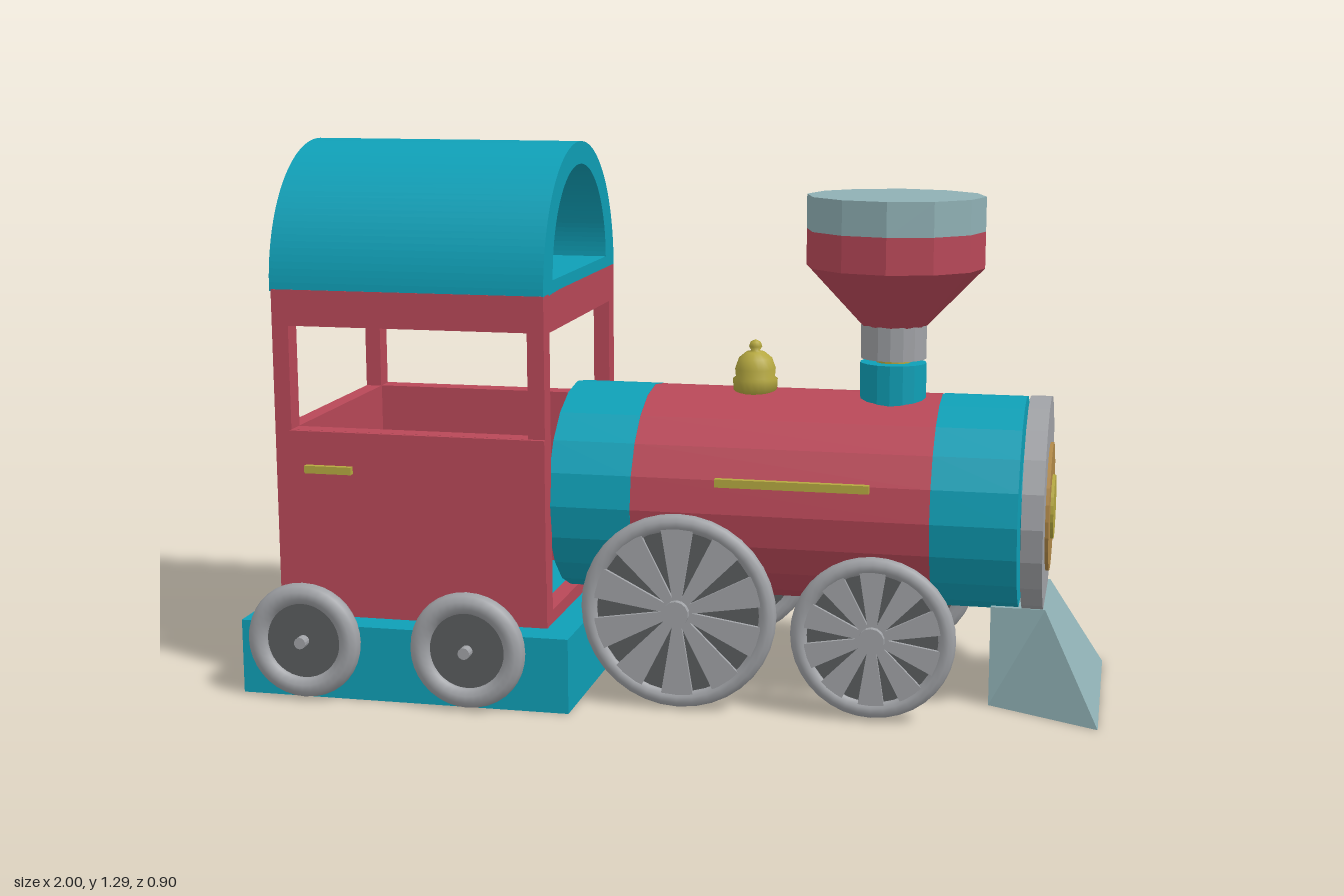
import * as THREE from 'three';

const TEAL = 0x0f9fb6, RED = 0xb84858, GREY = 0xa0a2a6, DARK = 0x5a5c5e, PALE = 0x8fb0b4, GOLD = 0xb5a840, ORANGE = 0xb08848;
const AXIS_Z = 0.013; // side offset of the boiler line

export function createModel() {
  const root = new THREE.Group();

  const material = (color, flat) => new THREE.MeshStandardMaterial({ color, flatShading: flat, side: THREE.DoubleSide });
  const add = (name, geo, color, flat = true, parent = root) => {
    const mesh = new THREE.Mesh(geo, material(color, flat));
    mesh.name = name;
    parent.add(mesh);
    return mesh;
  };
  // box from its limits
  const box = (name, x0, x1, y0, y1, z0, z1, color) => {
    const g = new THREE.BoxGeometry(x1 - x0, y1 - y0, z1 - z0);
    g.translate((x0 + x1) / 2, (y0 + y1) / 2, (z0 + z1) / 2);
    return add(name, g, color);
  };
  // elliptical drum lying along x
  const drum = (name, x0, x1, y, ry, rz, color, sides = 20) => {
    const g = new THREE.CylinderGeometry(1, 1, x1 - x0, sides);
    g.rotateZ(Math.PI / 2);
    g.scale(1, ry, rz);
    g.translate((x0 + x1) / 2, y, AXIS_Z);
    return add(name, g, color);
  };
  // rectangle path, used for walls and their openings
  const rect = (path, x0, x1, y0, y1) => {
    path.moveTo(x0, y0);
    path.lineTo(x1, y0);
    path.lineTo(x1, y1);
    path.lineTo(x0, y1);
    path.closePath();
    return path;
  };
  const framedWall = (outer, hole, depth) => {
    const s = rect(new THREE.Shape(), ...outer);
    s.holes.push(rect(new THREE.Path(), ...hole));
    return new THREE.ExtrudeGeometry(s, { depth, bevelEnabled: false });
  };

  // Cab platform
  box('cabBase', -1, -0.2, 0, 0.178, -0.395, 0.405, TEAL);

  // Cab walls: windows at the sides and back, open towards the boiler
  for (const s of [1, -1]) {
    const side = framedWall([-0.93, -0.27, 0.178, 0.96], [-0.89, -0.305, 0.628, 0.875], 0.045);
    side.translate(0, 0, s > 0 ? 0.283 : -0.333);
    add('cabSideWall', side, RED);
    const z = s * 0.335;
    box('cabDoor', -0.89, -0.268, 0.29, 0.628, z - 0.006, z + 0.006, RED);
    box('doorHandle', -0.85, -0.735, 0.53, 0.548, s * 0.346 - 0.01, s * 0.346 + 0.01, GOLD);
  }
  const back = framedWall([-0.333, 0.328, 0.178, 0.96], [-0.283, 0.278, 0.628, 0.87], 0.04);
  back.rotateY(Math.PI / 2);
  back.translate(-0.93, 0, -0.005);
  add('cabBackWall', back, RED);
  const front = framedWall([-0.333, 0.328, 0.178, 0.96], [-0.283, 0.278, 0.21, 0.87], 0.04);
  front.rotateY(Math.PI / 2);
  front.translate(-0.31, 0, -0.005);
  add('cabFrontFrame', front, RED);

  // Arched hollow roof
  const arch = new THREE.Shape();
  arch.moveTo(0.332, 0.955);
  arch.absarc(0, 0.96, 0.332, 0, Math.PI, false);
  arch.lineTo(-0.332, 0.955);
  arch.closePath();
  const tunnel = new THREE.Path();
  tunnel.absarc(0, 0.988, 0.25, 0, Math.PI, false);
  tunnel.closePath();
  arch.holes.push(tunnel);
  const roof = new THREE.ExtrudeGeometry(arch, { depth: 0.664, bevelEnabled: false, curveSegments: 32 });
  roof.rotateY(Math.PI / 2);
  roof.translate(-0.934, 0, -0.005);
  add('cabRoof', roof, TEAL, false);

  // Boiler in three bands, then the front plate
  drum('boilerRearBand', -0.275, -0.08, 0.463, 0.25, 0.278, TEAL);
  drum('boilerBarrel', -0.08, 0.612, 0.463, 0.249, 0.277, RED);
  drum('boilerFrontBand', 0.612, 0.808, 0.463, 0.25, 0.278, TEAL);
  drum('boilerNeck', 0.8, 0.83, 0.46, 0.14, 0.15, TEAL);
  drum('frontPlate', 0.816, 0.865, 0.462, 0.253, 0.28, GREY);
  drum('frontDisc', 0.86, 0.873, 0.455, 0.15, 0.167, ORANGE, 24);
  drum('frontBoss', 0.87, 0.88, 0.455, 0.075, 0.084, GOLD, 24);
  for (const z of [0.286, -0.262]) box('boilerRail', 0.12, 0.475, 0.527, 0.546, z - 0.008, z + 0.008, GOLD);

  // Bell dome
  const bellProfile = [[0, 0.7], [0.052, 0.7], [0.054, 0.735], [0.047, 0.74], [0.049, 0.76], [0.04, 0.785],
    [0.022, 0.8], [0.01, 0.803], [0.016, 0.813], [0.012, 0.824], [0, 0.83]];
  const bell = new THREE.LatheGeometry(bellProfile.map(p => new THREE.Vector2(...p)), 20);
  bell.translate(0.165, 0, 0.015);
  add('bell', bell, GOLD, false);

  // Chimney stack, slightly oval, in stepped sections
  const stack = (name, y0, y1, r0, r1, color, sides) => {
    const g = new THREE.CylinderGeometry(r1, r0, y1 - y0, sides);
    g.scale(1, 1, 0.9);
    g.translate(0.497, (y0 + y1) / 2, 0.037);
    add(name, g, color);
  };
  stack('chimneyBase', 0.66, 0.79, 0.078, 0.078, TEAL, 16);
  stack('chimneyCore', 0.78, 0.81, 0.04, 0.04, GOLD, 16);
  stack('chimneyCollar', 0.8, 0.88, 0.077, 0.077, GREY, 16);
  stack('chimneyCone', 0.878, 1.015, 0.077, 0.208, RED, 12);
  stack('chimneyDrum', 1.015, 1.1, 0.208, 0.208, RED, 12);
  stack('chimneyCap', 1.1, 1.18, 0.208, 0.208, PALE, 12);

  // Cowcatcher: a box whose corners flare out at the lower front
  const plough = new THREE.BoxGeometry(1, 1, 1);
  const p = plough.attributes.position;
  for (let i = 0; i < p.count; i++) {
    const ahead = p.getX(i) > 0, low = p.getY(i) < 0;
    p.setXYZ(i, !ahead ? 0.745 : low ? 1 : 0.87, low ? 0 : 0.238, Math.sign(p.getZ(i)) * (ahead && low ? 0.267 : 0.14));
  }
  plough.computeVertexNormals();
  add('cowcatcher', plough, PALE);

  // Wheels: tyre, backing disc, hub and optional wedge spokes
  const wheel = (name, x, y, z, s, R, tube, spokes) => {
    const w = new THREE.Group();
    w.name = name;
    const tyre = new THREE.TorusGeometry(R - tube, tube, 10, 36);
    add('tyre', tyre, GREY, false, w);
    const disc = new THREE.CylinderGeometry(R - tube, R - tube, 0.014, 32);
    disc.rotateX(Math.PI / 2);
    add('disc', disc, DARK, true, w);
    const hubR = spokes ? 0.03 : 0.014;
    const hub = new THREE.CylinderGeometry(hubR, hubR, 0.036, 14);
    hub.rotateX(Math.PI / 2);
    hub.translate(0, 0, 0.014);
    add('hub', hub, GREY, true, w);
    for (let i = 0; i < spokes; i++) {
      const rim = R - tube, half = rim * 0.19;
      const wedge = new THREE.Shape([[0.015, -0.008], [rim, -half], [rim, half], [0.015, 0.008]].map(q => new THREE.Vector2(...q)));
      const g = new THREE.ExtrudeGeometry(wedge, { depth: 0.01, bevelEnabled: false });
      g.rotateZ(((i + 0.5) / spokes) * Math.PI * 2);
      g.translate(0, 0, 0.006);
      add('spoke', g, GREY, true, w);
    }
    w.position.set(x, y, z);
    if (s < 0) w.rotation.y = Math.PI;
    root.add(w);
  };
  for (const s of [1, -1]) {
    wheel('largeWheel', 0.038, 0.233, AXIS_Z + s * 0.292, s, 0.231, 0.021, 10);
    wheel('mediumWheel', 0.49, 0.195, AXIS_Z + s * 0.288, s, 0.19, 0.021, 10);
    for (const x of [-0.838, -0.437]) wheel('smallWheel', x, 0.142, s * 0.417, s, 0.139, 0.026, 0);
  }

  return root;
}
